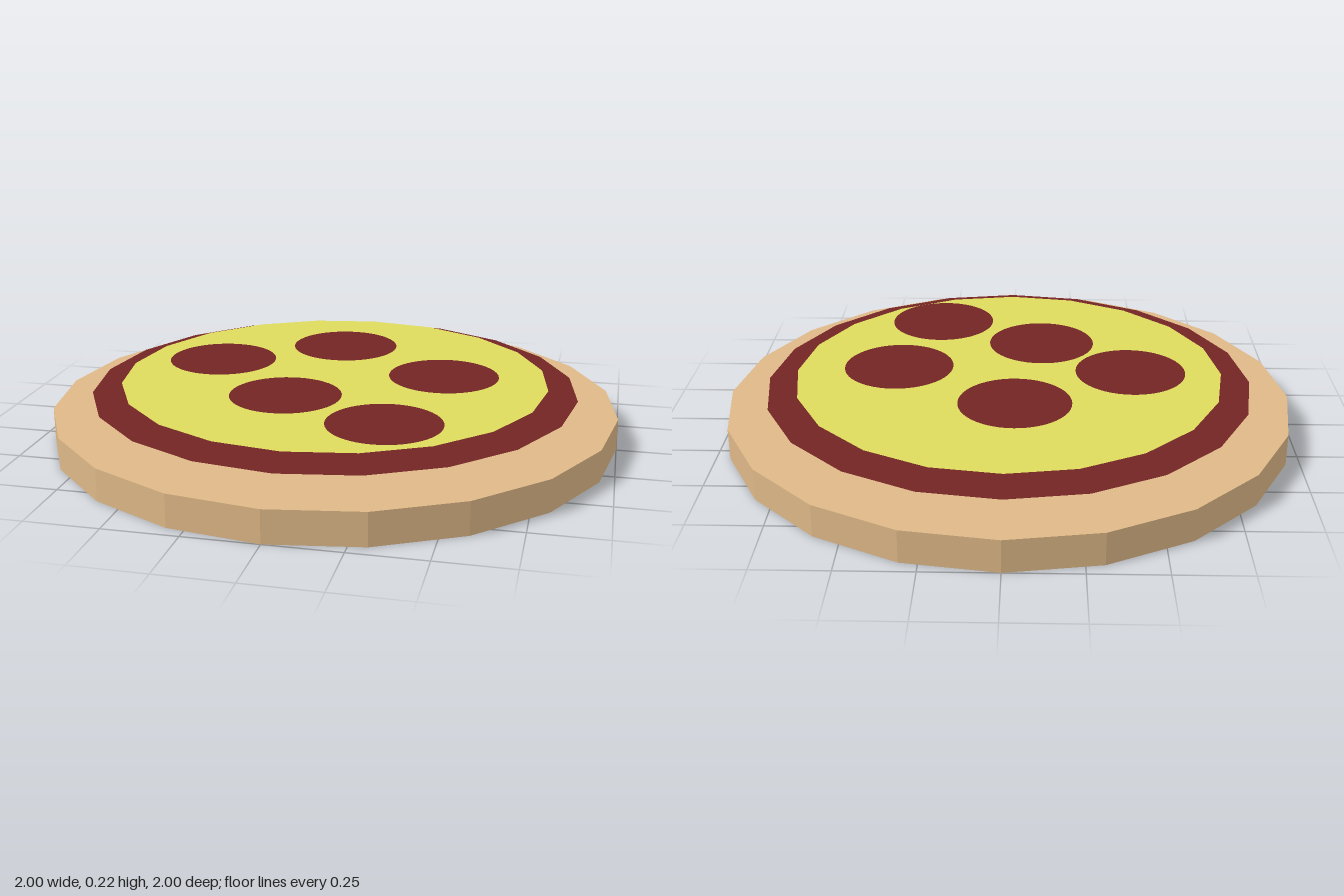
import * as THREE from 'three';

export function createModel() {
  const model = new THREE.Group();
  model.name = 'pizza';

  const material = (name, color, options = {}) => {
    const m = new THREE.MeshStandardMaterial({ color, ...options });
    m.name = name;
    return m;
  };
  const dough = material('dough', 0xdeb887, { flatShading: true });
  const red = material('tomatoRed', 0x742525, { side: THREE.DoubleSide });
  const yellow = material('cheeseYellow', 0xdddb5c, { side: THREE.DoubleSide });

  // Flat horizontal disc facing up
  const addDisc = (name, mat, radius, sides, x, y, z) => {
    const geometry = new THREE.CircleGeometry(radius, sides).rotateX(-Math.PI / 2);
    const disc = new THREE.Mesh(geometry, mat);
    disc.name = name;
    disc.position.set(x, y, z);
    model.add(disc);
  };

  // Twenty-sided crust slab
  const height = 0.112;
  const crust = new THREE.Mesh(new THREE.CylinderGeometry(1, 1, height, 20), dough);
  crust.name = 'crust';
  crust.position.y = height / 2;
  model.add(crust);

  // Sauce and cheese sheets layered above the crust
  addDisc('sauce', red, 0.86, 20, 0, 0.167, 0);
  addDisc('cheese', yellow, 0.757, 20, 0, 0.198, 0);

  // Round slices, resting at slightly different heights
  const slices = [
    [-0.027, 0.224, -0.306],
    [-0.43, 0.224, -0.044],
    [0.39, 0.224, -0.013],
    [-0.117, 0.206, 0.256],
    [0.265, 0.206, 0.466],
  ];
  slices.forEach(([x, y, z], i) => addDisc(`sausageSlice${i + 1}`, red, 0.193, 48, x, y, z));

  return model;
}
